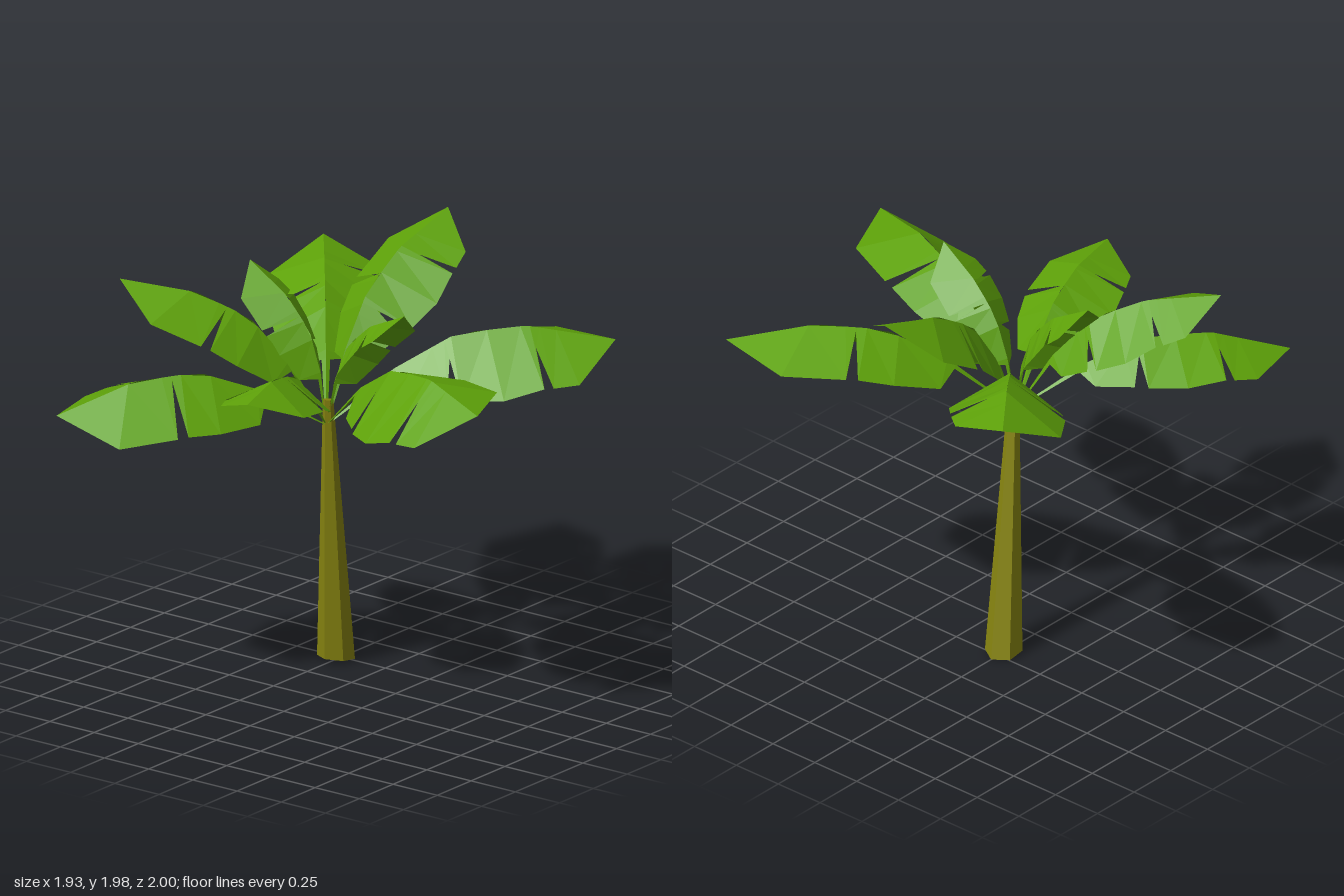
import * as THREE from 'three';

const leafGreen = new THREE.MeshStandardMaterial({ color: 0x5ea209, flatShading: true, side: THREE.DoubleSide });
leafGreen.name = 'leaf green';
const trunkOlive = new THREE.MeshStandardMaterial({ color: 0x868410, flatShading: true });
trunkOlive.name = 'trunk olive';

const { lerp, clamp } = THREE.MathUtils;
const CROWN = new THREE.Vector3(0.05, 1.18, -0.18);

// Height of the midrib arch above the straight line from crown to tip (unit length)
const ARCH = [[0, 0], [0.26, 0.12], [0.5, 0.178], [0.73, 0.135], [1, 0]];
function arch(s) {
  let i = 1;
  while (i < ARCH.length - 1 && s > ARCH[i][0]) i++;
  const [a, b] = [ARCH[i - 1], ARCH[i]];
  return lerp(a[1], b[1], (s - a[0]) / (b[0] - a[0]));
}

// Slope of the folded halves, steeper near the stem
const fold = (s) => lerp(0.75, 0.5, clamp((s - 0.25) / 0.6, 0, 1));

// Each half blade: [position on midrib, position on edge, width]; narrow rows are tears
const LEFT_HALF = [
  [0, 0, 0.003], [0.24, 0.24, 0.016], [0.27, 0.28, 0.11], [0.45, 0.445, 0.185], [0.56, 0.57, 0.208],
  [0.595, 0.595, 0.015], [0.63, 0.61, 0.213], [0.75, 0.82, 0.208], [1, 1, 0],
];
const RIGHT_HALF = [
  [0, 0, 0.003], [0.24, 0.24, 0.016], [0.27, 0.28, 0.09], [0.41, 0.41, 0.155], [0.455, 0.455, 0.055],
  [0.48, 0.455, 0.183], [0.6, 0.59, 0.22], [0.71, 0.73, 0.208], [0.74, 0.74, 0.07],
  [0.77, 0.76, 0.203], [0.82, 0.845, 0.183], [1, 1, 0],
];

// Folded leaf with its stem, from the crown to the tip; roll lowers the right half
function makeLeaf(name, tip, roll, spread) {
  const along = new THREE.Vector3(...tip).sub(CROWN);
  const length = along.length();
  along.normalize();
  const right = new THREE.Vector3().crossVectors(along, new THREE.Vector3(0, 1, 0)).normalize();
  const normal = new THREE.Vector3().crossVectors(right, along);
  const point = (s, w) => CROWN.clone()
    .addScaledVector(along, s * length)
    .addScaledVector(right, w * spread * length)
    .addScaledVector(normal, (arch(s) - fold(s) * Math.abs(w) - roll * w) * length);

  const positions = [];
  const triangle = (...corners) => corners.forEach((p) => positions.push(p.x, p.y, p.z));
  for (const [half, sign] of [[LEFT_HALF, -1], [RIGHT_HALF, 1]]) {
    for (let i = 1; i < half.length; i++) {
      const [a, b] = [half[i - 1], half[i]];
      const m0 = point(a[0], 0), m1 = point(b[0], 0);
      const e0 = point(a[1], sign * a[2]), e1 = point(b[1], sign * b[2]);
      const last = i === half.length - 1;
      if (sign > 0) {
        triangle(m0, e0, m1);
        if (!last) triangle(m1, e0, e1);
      } else {
        triangle(m0, m1, e0);
        if (!last) triangle(m1, e1, e0);
      }
    }
  }
  const geometry = new THREE.BufferGeometry();
  geometry.setAttribute('position', new THREE.Float32BufferAttribute(positions, 3));
  geometry.computeVertexNormals();
  const leaf = new THREE.Mesh(geometry, leafGreen);
  leaf.name = name;
  return leaf;
}

// Six-sided trunk leaning from base to top, with its foot cut at a slant
function makeTrunk() {
  const base = new THREE.Vector3(0.212, 0.017, -0.25);
  const top = new THREE.Vector3(0.052, 1.3, -0.172);
  const geometry = new THREE.CylinderGeometry(0.024, 0.086, 1, 6, 1, false, Math.PI / 6);
  const position = geometry.attributes.position;
  const centre = new THREE.Vector3();
  for (let i = 0; i < position.count; i++) {
    const x = position.getX(i), z = position.getZ(i);
    centre.lerpVectors(base, top, position.getY(i) + 0.5);
    position.setXYZ(i, centre.x + x, centre.y - 0.14 * x, centre.z + z);
  }
  geometry.computeVertexNormals();
  const trunk = new THREE.Mesh(geometry, trunkOlive);
  trunk.name = 'trunk';
  return trunk;
}

export function createModel() {
  const tree = new THREE.Group();
  tree.name = 'broadLeafTree';
  tree.add(makeTrunk());

  // Crown of leaves: name, tip, roll, spread
  const leaves = [
    ['backRightLeaf', [-0.96, 1.34, -0.935], -0.17, 1],
    ['backLeaf', [-0.46, 1.85, -0.96], 0, 0.96],
    ['backLeftLeaf', [0.91, 1.71, -0.855], -0.08, 1],
    ['leftLeaf', [0.91, 1.985, -0.15], 0, 0.94],
    ['frontLeftLeaf', [0.92, 1.55, 0.79], 0.22, 1],
    ['frontLeaf', [-0.37, 1.58, 0.995], 0.33, 0.97],
    ['rightLeaf', [-0.85, 1.57, 0.06], 0, 1],
    ['smallFrontLeaf', [-0.03, 1.82, 0.32], 0, 0.86],
    ['smallBackLeaf', [0.06, 1.87, -0.62], 0, 0.88],
  ];
  for (const leaf of leaves) tree.add(makeLeaf(...leaf));
  return tree;
}
